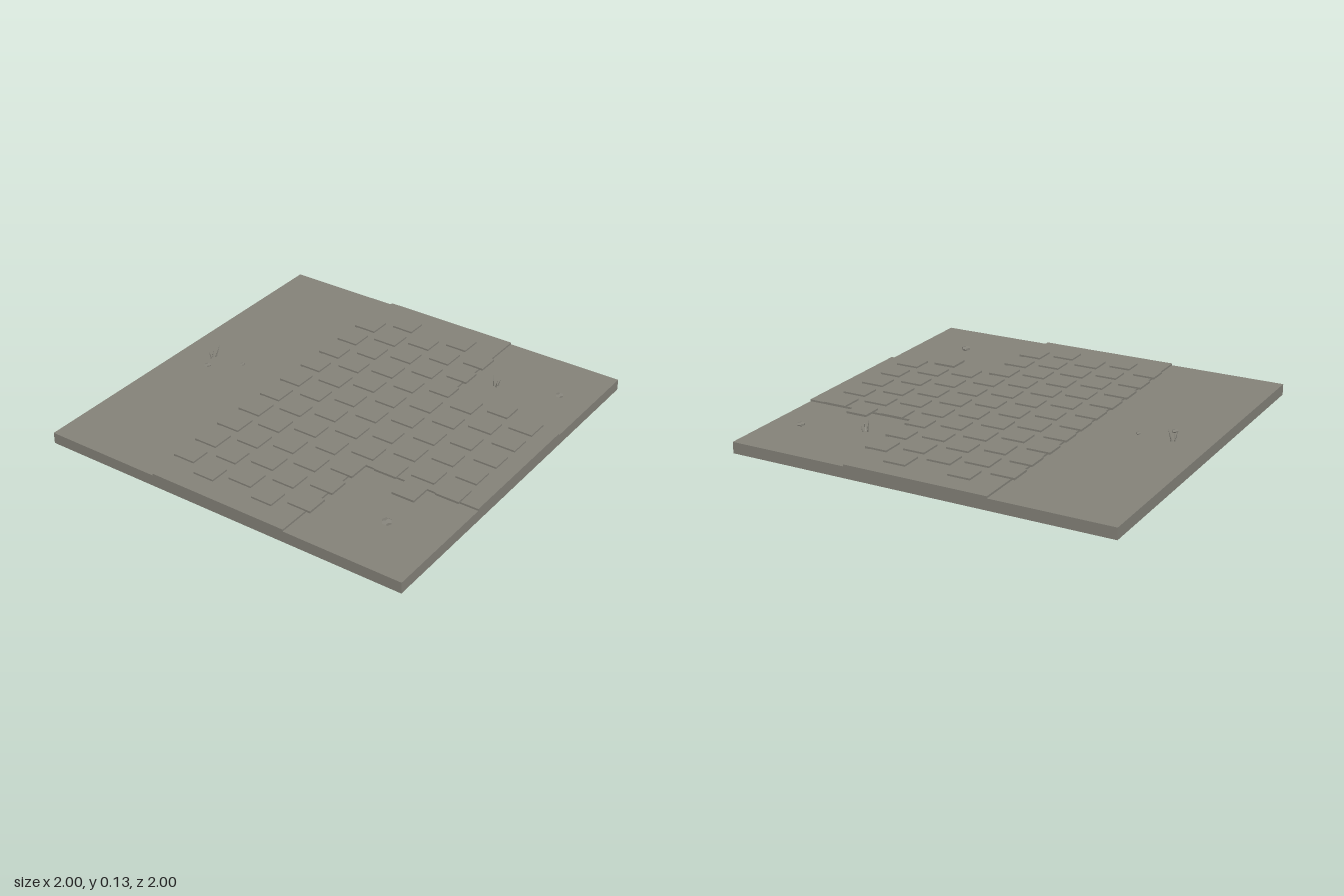
import * as THREE from 'three';

const GROUND = 0.058; // top of the slab
const PATH = 0.068; // top of the paving bed
const PITCH = 0.167; // spacing of the paving stones

// Small seeded generator for the stone variation
function makeRandom(seed) {
  return () => {
    seed = (seed * 16807) % 2147483647;
    return seed / 2147483647;
  };
}

export function createModel() {
  const model = new THREE.Group();
  model.name = 'pathJunctionTile';
  const stone = new THREE.MeshStandardMaterial({ color: 0x85837a, flatShading: true });
  stone.name = 'weatheredStone';
  const random = makeRandom(41);

  const add = (name, geometry, parent = model) => {
    const mesh = new THREE.Mesh(geometry, stone);
    mesh.name = name;
    parent.add(mesh);
    return mesh;
  };
  const box = (name, x0, x1, y0, y1, z0, z1, parent) => {
    const mesh = add(name, new THREE.BoxGeometry(x1 - x0, y1 - y0, z1 - z0), parent);
    mesh.position.set((x0 + x1) / 2, (y0 + y1) / 2, (z0 + z1) / 2);
    return mesh;
  };

  // Ground slab and the T-shaped bed of the path
  box('groundSlab', -1, 1, 0, GROUND, -1, 1);
  box('crossPath', -1, 1, GROUND - 0.002, PATH, -0.375, 0.375);
  box('stemPath', -0.375, 0.375, GROUND - 0.002, PATH, 0.375, 1);

  // Staggered paving stones: eight rows, the last three only on the stem
  const paving = new THREE.Group();
  paving.name = 'pavingStones';
  model.add(paving);
  for (let row = 0; row < 8; row++) {
    const z = -0.333 + row * 0.168;
    const shifted = row % 2 === 1;
    const start = shifted ? -0.837 : -0.775;
    const count = shifted ? 11 : 10;
    for (let i = 0; i < count; i++) {
      const x = start + i * PITCH;
      if (row > 4 && Math.abs(x) > 0.46) continue;
      const w = 0.052 + random() * 0.008;
      const d = 0.056 + random() * 0.008;
      box('pavingStone', x - w, x + w, 0.066, 0.077, z - d, z + d, paving);
    }
  }

  // Loose pebbles: x, z, radius
  [
    [-0.69, 0.718, 0.027],
    [0.681, 0.836, 0.022],
    [-0.095, -0.784, 0.018],
    [0.015, -0.642, 0.013],
  ].forEach(([x, z, r]) => {
    const pebble = add('pebble', new THREE.DodecahedronGeometry(r, 0));
    pebble.scale.y = 0.45;
    pebble.position.set(x, GROUND + 0.012, z);
  });

  // Grass tufts: each blade is foot x, foot z, tip x, tip y, tip z
  const up = new THREE.Vector3(0, 1, 0);
  [
    [
      [-0.018, -0.823, -0.031, 0.108, -0.826],
      [-0.002, -0.825, 0.003, 0.102, -0.822],
      [0.009, -0.812, 0.026, 0.13, -0.797],
    ],
    [
      [0.584, 0.529, 0.578, 0.096, 0.537],
      [0.589, 0.513, 0.591, 0.125, 0.503],
      [0.6, 0.533, 0.609, 0.093, 0.538],
    ],
  ].forEach((blades) => {
    const tuft = new THREE.Group();
    tuft.name = 'grassTuft';
    model.add(tuft);
    blades.forEach(([x, z, tx, ty, tz]) => {
      const foot = new THREE.Vector3(x, GROUND, z);
      const lean = new THREE.Vector3(tx, ty, tz).sub(foot);
      const length = lean.length();
      const blade = add('grassBlade', new THREE.ConeGeometry(0.005, length, 4).translate(0, length / 2, 0), tuft);
      blade.position.copy(foot);
      blade.quaternion.setFromUnitVectors(up, lean.normalize());
    });
  });

  return model;
}
